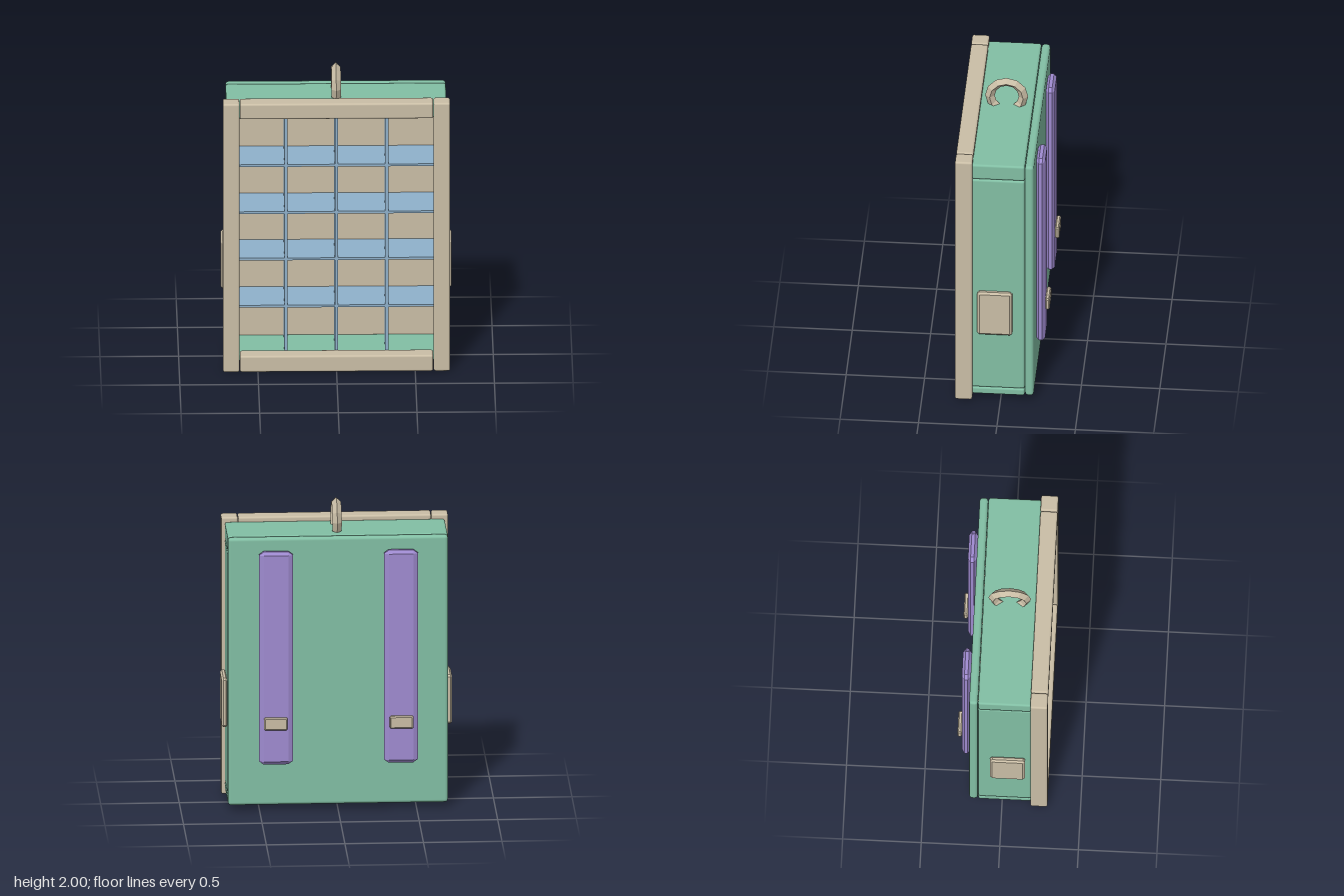
import * as THREE from 'three';
import { RoundedBoxGeometry } from 'three/addons/geometries/RoundedBoxGeometry.js';
import { ConvexGeometry } from 'three/addons/geometries/ConvexGeometry.js';

const material = (name, color) => {
  const m = new THREE.MeshStandardMaterial({ color });
  m.name = name;
  return m;
};

// Box with one flat bevel along every edge; c = bevel size per axis
function bevelBox(w, h, d, [cx, cy, cz]) {
  const pts = [];
  for (const x of [-w / 2, w / 2])
    for (const y of [-h / 2, h / 2])
      for (const z of [-d / 2, d / 2]) {
        const ix = x - Math.sign(x) * cx, iy = y - Math.sign(y) * cy, iz = z - Math.sign(z) * cz;
        pts.push(new THREE.Vector3(x, iy, iz), new THREE.Vector3(ix, y, iz), new THREE.Vector3(ix, iy, z));
      }
  return new ConvexGeometry(pts);
}

export function createModel() {
  const model = new THREE.Group();
  model.name = 'displayCaseBackpack';
  const green = material('green shell', 0x82bfa4);
  const tan = material('tan trim', 0xcabea6);
  const blue = material('blue dividers', 0x8fb1cb);
  const purple = material('purple straps', 0x9f8bd0);

  const add = (name, geometry, mat, x, y, z) => {
    const mesh = new THREE.Mesh(geometry, mat);
    mesh.name = name;
    mesh.position.set(x, y, z);
    model.add(mesh);
    return mesh;
  };

  // Builds a part from its min and max extents, with rounded edges if r > 0
  const span = (name, mat, [x0, x1], [y0, y1], [z0, z1], r = 0) => {
    const size = [x1 - x0, y1 - y0, z1 - z0];
    const geometry = r ? new RoundedBoxGeometry(...size, 2, r) : new THREE.BoxGeometry(...size);
    return add(name, geometry, mat, (x0 + x1) / 2, (y0 + y1) / 2, (z0 + z1) / 2);
  };

  // Shell
  const shellZ = [-0.153, 0.185];
  span('topPanel', green, [-0.7, 0.7], [1.69, 1.8], shellZ, 0.014);
  span('bottomPanel', green, [-0.7, 0.7], [0.035, 0.087], shellZ, 0.014);
  span('backPanel', green, [-0.7, 0.7], [0.035, 1.8], [-0.21, -0.155], 0.02);
  span('innerBacking', tan, [-0.65, 0.65], [0.08, 1.695], [-0.16, -0.145]);

  // Front frame
  const frameZ = [0.18, 0.29];
  span('topRail', tan, [-0.614, 0.614], [1.725, 1.83], frameZ, 0.013);
  span('bottomRail', tan, [-0.614, 0.614], [0, 0.11], frameZ, 0.013);

  // Compartment dividers and shelves
  for (const x of [-0.32, 0, 0.32])
    span('divider', blue, [x - 0.01, x + 0.01], [0.085, 1.692], [-0.15, 0.18]);
  for (const y of [0.407, 0.729, 1.046, 1.367])
    span('shelf', blue, [-0.645, 0.645], [y - 0.008, y + 0.008], [-0.15, 0.179]);

  // Mirrored parts
  for (const s of [-1, 1]) {
    const range = (a, b) => (s > 0 ? [a, b] : [-b, -a]);
    span('sidePanel', green, range(0.64, 0.7), [0.088, 1.687], shellZ, 0.014);
    span('framePost', tan, range(0.617, 0.722), [0, 1.83], frameZ, 0.013);
    add('sidePatch', bevelBox(0.04, 0.325, 0.222, [0.012, 0.014, 0.014]), tan, s * 0.714, 0.676, 0.036);
    add('strap', bevelBox(0.216, 1.405, 0.056, [0.03, 0.022, 0.017]), purple, s * 0.398, 1.018, -0.239);
    add('buckle', bevelBox(0.15, 0.082, 0.028, [0.008, 0.008, 0.007]), tan, s * 0.4, 0.592, -0.281);
  }

  // Carry ring, sunk into the top panel
  const ring = new THREE.TorusGeometry(0.107, 0.03, 4, 12).rotateY(Math.PI / 2).toNonIndexed();
  ring.computeVertexNormals();
  add('carryRing', ring, tan, 0, 1.863, 0.015);

  return model;
}
